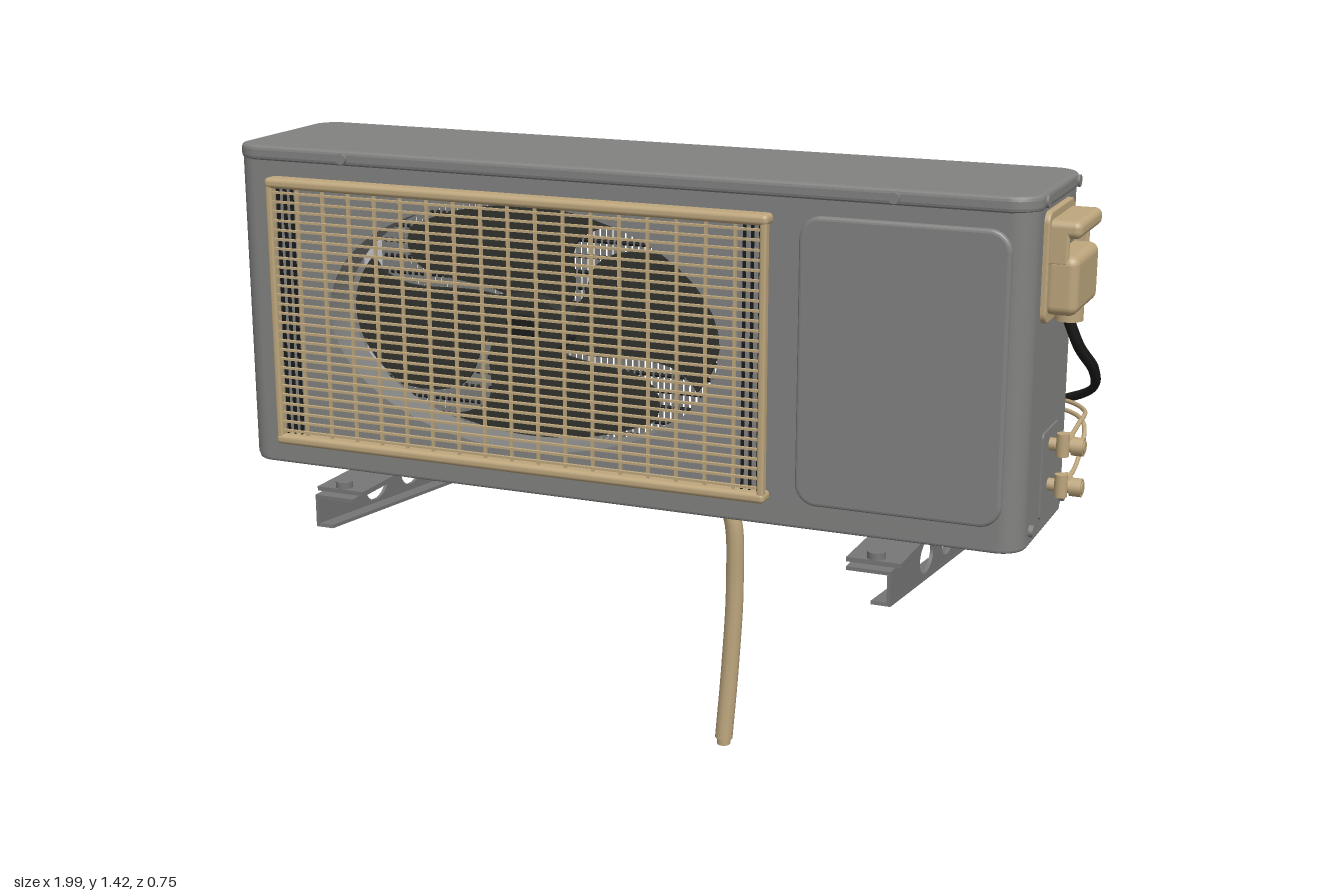
import * as THREE from 'three';
import { RoundedBoxGeometry } from 'three/addons/geometries/RoundedBoxGeometry.js';

const mat = (name, color) => {
  const m = new THREE.MeshStandardMaterial({ color, side: THREE.DoubleSide });
  m.name = name;
  return m;
};

export function createModel() {
  const grey = mat('casing grey', 0x828281), steel = mat('bracket grey', 0x777778);
  const beige = mat('beige', 0xbda67d), black = mat('black', 0x1b1b1a);
  const dark = mat('fan dark grey', 0x31312e), light = mat('light grey', 0xc6c6c9);
  const root = new THREE.Group();

  const group = (name, parent = root) => {
    const g = new THREE.Group();
    g.name = name;
    parent.add(g);
    return g;
  };
  const add = (name, geo, m, parent = root, x = 0, y = 0, z = 0) => {
    const mesh = new THREE.Mesh(geo, m);
    mesh.name = name;
    mesh.position.set(x, y, z);
    parent.add(mesh);
    return mesh;
  };
  // box given by its limits on each axis, optionally rounded
  const box = (name, m, [x0, x1], [y0, y1], [z0, z1], parent = root, r = 0) => {
    const s = [x1 - x0, y1 - y0, z1 - z0];
    const g = r ? new RoundedBoxGeometry(...s, 3, r) : new THREE.BoxGeometry(...s);
    return add(name, g, m, parent, (x0 + x1) / 2, (y0 + y1) / 2, (z0 + z1) / 2);
  };
  const tube = (name, m, pts, r, parent = root, seg = 48) =>
    add(name, new THREE.TubeGeometry(new THREE.CatmullRomCurve3(
      pts.map(p => new THREE.Vector3(...p))), seg, r, 10), m, parent);
  const rod = (name, m, axis, r, len, x, y, z, parent = root, r2 = r) => {
    const g = new THREE.CylinderGeometry(r2, r, len, 14);
    if (axis === 'x') g.rotateZ(-Math.PI / 2);
    if (axis === 'z') g.rotateX(Math.PI / 2);
    return add(name, g, m, parent, x, y, z);
  };
  const rect = (x0, x1, y0, y1, r = 0.001, S = THREE.Shape) => {
    const s = new S();
    s.moveTo(x0 + r, y0).lineTo(x1 - r, y0).absarc(x1 - r, y0 + r, r, -Math.PI / 2, 0);
    s.lineTo(x1, y1 - r).absarc(x1 - r, y1 - r, r, 0, Math.PI / 2);
    s.lineTo(x0 + r, y1).absarc(x0 + r, y1 - r, r, Math.PI / 2, Math.PI);
    s.lineTo(x0, y0 + r).absarc(x0 + r, y0 + r, r, Math.PI, Math.PI * 1.5);
    return s;
  };
  const ellipse = (x, y, rx, ry) => new THREE.Path().absellipse(x, y, rx, ry, 0, Math.PI * 2);
  const extrude = (shape, depth, bevel = 0) => new THREE.ExtrudeGeometry(shape, {
    depth, curveSegments: 24, bevelEnabled: bevel > 0, bevelSize: bevel, bevelThickness: bevel, bevelSegments: 3 });
  const upright = (shape, depth, bevel) => extrude(shape, depth, bevel).rotateX(-Math.PI / 2); // (x, -z)
  const sideways = (shape, depth, bevel) => extrude(shape, depth, bevel).rotateY(Math.PI / 2); // (-z, y)

  // Casing
  const casing = group('casing');
  const X0 = -0.955, X1 = 0.91, Z0 = -0.135, Z1 = 0.265, R = 0.05;
  const plan = rect(X0 + 0.007, X1 - 0.007, -Z1 + 0.007, -Z0 - 0.007, R);
  add('lid', upright(rect(X0 + 0.005, X1 - 0.005, -Z1 + 0.005, -Z0 - 0.005, R), 0.015, 0.01), grey, casing, 0, 1.395, 0);
  add('basePan', upright(plan, 0.02, 0.007), grey, casing, 0, 0.677, 0);
  const [cx, cy, rx, ry] = [-0.24, 1.05, 0.48, 0.28];
  const front = rect(X0 + R, X1 - R, 0.69, 1.39);
  front.holes.push(ellipse(cx, cy, rx, ry));
  add('frontPanel', extrude(front, 0.01), grey, casing, 0, 0, Z1 - 0.01);
  add('frontRaisedPanel', extrude(rect(0.425, 0.86, 0.735, 1.345, 0.04), 0.004, 0.008), grey, casing, 0, 0, Z1);
  box('rightWall', grey, [X1 - 0.01, X1], [0.69, 1.39], [Z0 + R, Z1 - R], casing);
  box('backServicePanel', grey, [0.5, X1 - R], [0.69, 1.39], [Z0, Z0 + 0.01], casing);
  add('backRaisedPanel', extrude(rect(0.56, 0.85, 0.75, 1.33, 0.04), 0.003, 0.006), grey, casing, 0, 0, Z0 - 0.003);
  box('backPost', grey, [X0 + R, -0.85], [0.69, 1.39], [Z0, Z0 + 0.01], casing);
  box('divider', grey, [0.5, 0.51], [0.69, 1.39], [Z0, Z1 - 0.01], casing);
  [[X1 - R, Z1 - R, 0], [X1 - R, Z0 + R, 1], [X0 + R, Z0 + R, 2], [X0 + R, Z1 - R, 3]].forEach(([x, z, q]) =>
    add('roundedCorner', new THREE.CylinderGeometry(R, R, 0.71, 10, 1, true, q * Math.PI / 2, Math.PI / 2), grey, casing, x, 1.04, z));

  // Left wall with two columns of vent windows
  const left = rect(-Z1 + R, -Z0 - R, 0.69, 1.39);
  for (let row = 0; row < 6; row++)
    for (const u of [-0.2, -0.05])
      left.holes.push(rect(u, u + 0.125, 0.74 + row * 0.1, 0.81 + row * 0.1, 0.008, THREE.Path));
  add('ventWall', sideways(left, 0.008), grey, casing, X0, 0, 0);
  box('ventBacking', light, [X0 + 0.025, X0 + 0.03], [0.7, 1.38], [Z0 + 0.02, Z1 - 0.04], casing);
  box('carryHandle', beige, [-1, X0], [1.285, 1.335], [-0.08, 0.04], casing, 0.015);

  // Screws
  for (const x of [-0.67, 0.62]) rod('lidScrew', grey, 'z', 0.012, 0.012, x, 1.402, 0.272, casing);
  for (const y of [0.705, 1.402])
    for (const z of [-0.085, 0.19])
      for (const x of [X0, X1]) rod('sideScrew', grey, 'x', 0.013, 0.02, x, y, z, casing);

  // Coil on the back: thin upright fins crossed by tubes
  const coil = group('coil');
  for (let i = 0; i <= 78; i++)
    box('fin', grey, [-0.79 + i * 0.0163, -0.788 + i * 0.0163], [0.7, 1.385], [-0.125, -0.1], coil);
  for (let i = 0; i < 18; i++)
    rod('coilTube', black, 'x', 0.005, 1.28, -0.15, 0.72 + i * 0.0385, -0.112, coil);
  for (const x of [-0.85, 0.48]) {
    const w = x < 0 ? 0.058 : 0.02;
    box('endPlate', light, [x, x + w], [0.7, 1.385], [-0.122, -0.115], coil);
  }

  // Fan in an oval duct
  const fan = group('fan');
  fan.position.set(cx, cy, 0.19);
  fan.scale.set(rx, ry, 1);
  add('duct', new THREE.CylinderGeometry(1, 1, 0.09, 64, 1, true).rotateX(Math.PI / 2), grey, fan, 0, 0, 0.025);
  add('hub', new THREE.CylinderGeometry(0.23, 0.26, 0.07, 32).rotateX(Math.PI / 2), dark, fan, 0, 0, 0.01);
  add('hubCap', new THREE.CylinderGeometry(0.08, 0.1, 0.02, 24).rotateX(Math.PI / 2), black, fan, 0, 0, 0.05);
  const blade = new THREE.Shape();
  const edge = (t, side) => {
    const r = 0.18 + 0.76 * t;
    const gap = 0.1 + 0.14 * t * t;
    const a = 0.45 + 0.55 * Math.sin(t * 2.6) + 0.12 * t + (side > 0 ? gap : Math.PI / 2 - gap * 0.5);
    return [r * Math.cos(a), r * Math.sin(a)];
  };
  blade.moveTo(...edge(0, 1));
  for (let i = 1; i <= 12; i++) blade.lineTo(...edge(i / 12, 1));
  const [p, q] = [edge(1, 1), edge(1, -1)];
  blade.absarc(0, 0, 0.94, Math.atan2(p[1], p[0]), Math.atan2(q[1], q[0]), false);
  for (let i = 12; i >= 0; i--) blade.lineTo(...edge(i / 12, -1));
  for (let k = 0; k < 4; k++)
    add('blade', extrude(blade, 0.008), dark, fan).rotation.z = k * Math.PI / 2;

  // Front grille
  const grille = group('grille');
  for (const y of [0.74, 1.342]) box('grilleRail', beige, [-0.855, 0.36], [y - 0.012, y + 0.012], [0.265, 0.31], grille, 0.01);
  for (const x of [-0.845, 0.35]) box('grilleSide', beige, [x - 0.008, x + 0.008], [0.74, 1.342], [0.285, 0.308], grille, 0.006);
  for (let i = 1; i < 28; i++)
    box('grilleWire', beige, [-0.845, 0.35], [0.738 + i * 0.0215, 0.743 + i * 0.0215], [0.297, 0.305], grille);
  for (let i = 1; i < 18; i++) {
    const x = -0.845 + i * 0.0664;
    box('grilleUpright', beige, [x - 0.003, x + 0.003], [0.74, 1.342], [0.288, 0.296], grille);
  }
  for (const s of [-1, 1])
    for (let i = 0; i < 3; i++) {
      const x = -0.2475 + s * (0.585 - i * 0.018);
      box('grilleEndBar', black, [x - 0.002, x + 0.002], [0.75, 1.33], [0.28, 0.29], grille);
    }

  // Electrical cover with a grip slot
  const cover = group('electricalCover');
  add('coverBase', sideways(rect(-0.185, 0.03, 1.15, 1.375, 0.02), 0.008, 0.004), beige, cover, X1, 0, 0);
  box('coverBody', beige, [X1, 0.982], [1.165, 1.29], [-0.02, 0.18], cover, 0.02);
  box('coverHood', beige, [X1, 0.985], [1.325, 1.362], [-0.02, 0.18], cover, 0.015);
  for (const z of [-0.012, 0.172]) box('coverCheek', beige, [X1, 0.96], [1.27, 1.345], [z - 0.008, z + 0.008], cover, 0.006);
  box('gripSlot', grey, [0.92, 0.93], [1.28, 1.335], [0, 0.165], cover);
  rod('cableGland', beige, 'y', 0.03, 0.03, 0.95, 1.158, 0.1, cover);

  // Power cables and refrigerant pipes running to the sleeve
  for (const d of [0, 0.022])
    tube('powerCable', black, [[0.95, 1.15, 0.12 - d], [0.965, 1.08, 0.07 - d], [0.975, 1.0, -0.05 - d],
      [0.95, 0.93, -0.16 - d / 2], [0.86, 0.88, -0.235], [0.74, 0.86 - d, -0.25], [0.62, 0.85 - d, -0.25]], 0.009);
  add('valvePlate', sideways(rect(-0.115, 0.02, 0.705, 0.895, 0.01), 0.004), grey, root, X1, 0, 0);
  [0.86, 0.77].forEach((y, i) => {
    const valve = group('valve');
    rod('valveBody', beige, 'x', 0.014, 0.08, 0.95, y, 0.055, valve);
    rod('valveCap', beige, 'x', 0.02, 0.025, 0.975, y, 0.055, valve);
    rod('valvePort', beige, 'z', 0.013, 0.06, 0.945, y + 0.005, 0.04, valve);
    rod('valveStem', beige, 'y', 0.014, 0.05, 0.945, y + 0.005, 0.07, valve);
    tube('copperPipe', beige, [[0.945, y, 0.03], [0.95, y + 0.02, -0.05], [0.94, 0.885 - i * 0.03, -0.15],
      [0.87, 0.885 - i * 0.02, -0.22], [0.74, 0.86, -0.25]], 0.005);
  });
  tube('pipeSleeve', steel, [[0.66, 0.86, -0.253], [0.5, 0.845, -0.232], [0.32, 0.82, -0.205], [0.19, 0.79, -0.207],
    [0.1, 0.74, -0.245], [0.055, 0.7, -0.3], [0.045, 0.688, -0.36]], 0.028);
  tube('sleeveWrap', black, [[0.75, 0.865, -0.255], [0.6, 0.86, -0.257], [0.4, 0.833, -0.228], [0.2, 0.795, -0.213]], 0.022);
  rod('wallFlange', beige, 'z', 0.075, 0.02, 0.045, 0.688, -0.36);
  rod('flangeCore', black, 'z', 0.045, 0.004, 0.045, 0.688, -0.371);

  // Drain
  rod('drainCup', beige, 'y', 0.035, 0.03, -0.02, 0.655, -0.05, root, 0.05);
  tube('drainHose', beige, [[-0.02, 0.65, -0.05], [0.04, 0.637, -0.05], [0.115, 0.625, -0.05], [0.15, 0.57, -0.05],
    [0.157, 0.4, -0.055], [0.15, 0.2, -0.048], [0.14, 0.015, -0.035]], 0.021);
  rod('hoseEnd', beige, 'y', 0.016, 0.02, 0.14, 0.01, -0.035);

  // Wall brackets, mirrored about the unit's middle
  for (const [s, x] of [[-1, -0.665], [1, 0.62]]) {
    const b = group('wallBracket');
    b.position.x = x;
    b.scale.x = s;
    const web = new THREE.Shape();
    web.moveTo(-0.375, 0.64).lineTo(-0.375, 0.565).lineTo(0.3, 0.5).lineTo(0.3, 0.64);
    [[-0.11, 0.592, 0.052, 0.038], [0.06, 0.585, 0.052, 0.04], [0.222, 0.577, 0.052, 0.042]]
      .forEach(h => web.holes.push(ellipse(...h)));
    add('armWeb', sideways(web, 0.008), steel, b, 0.04, 0, 0);
    box('armTop', steel, [-0.05, 0.048], [0.632, 0.64], [-0.3, 0.375], b);
    const lip = box('armLip', steel, [0.005, 0.048], [-0.004, 0.004], [-0.339, 0.339], b);
    lip.position.set(0.027, 0.535, 0.037);
    lip.rotation.x = -Math.atan2(0.065, 0.675);
    box('footRail', steel, [-0.06, 0.06], [0.64, 0.65], [-0.205, 0.345], b);
    for (const z of [-0.18, 0.325]) rod('railBolt', steel, 'y', 0.02, 0.02, 0, 0.655, z, b);
    for (const z of [-0.05, 0.17]) rod('rubberFoot', steel, 'y', 0.03, 0.025, 0, 0.66, z, b);
    box('postWeb', steel, [-0.045, 0.045], [0.495, 1.035], [-0.29, -0.282], b);
    for (const u of [-0.045, 0.037]) box('postFlange', steel, [u, u + 0.008], [0.495, 1.035], [-0.348, -0.282], b);
    for (const y of [0.525, 0.6]) rod('postBolt', steel, 'x', 0.018, 0.03, 0.058, y, -0.31, b);
  }
  return root;
}
